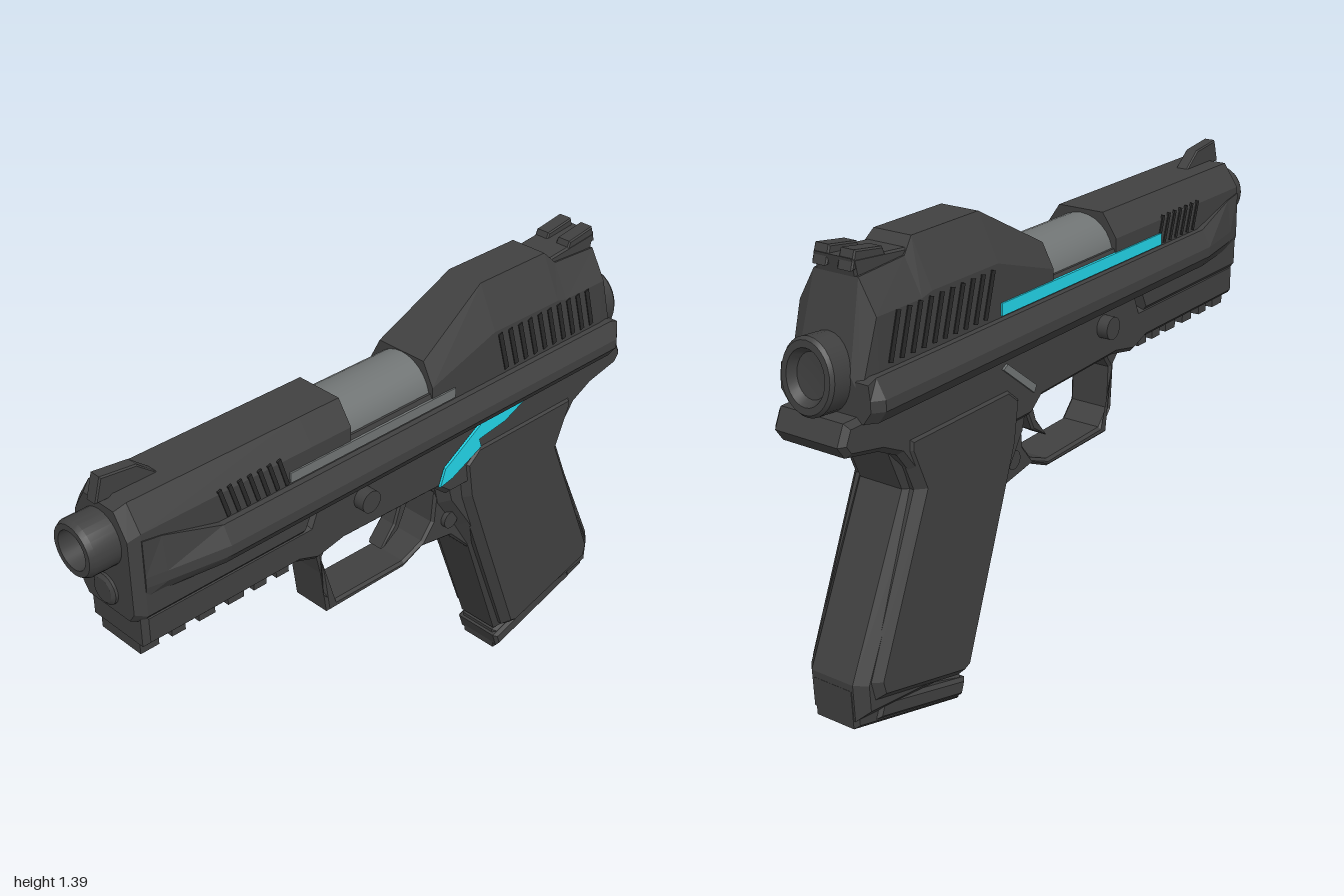
import * as THREE from 'three';
import { toCreasedNormals } from 'three/addons/utils/BufferGeometryUtils.js';

const material = (name, color) => {
  const m = new THREE.MeshStandardMaterial({ color });
  m.name = name;
  return m;
};

export function createModel() {
  const group = new THREE.Group();
  const body = material('charcoal', 0x404040);
  const dark = material('grooveBlack', 0x292929);
  const steel = material('steel', 0x707474);
  const cyan = material('cyan', 0x22d3e6);

  const add = (name, geometry, mat = body) => {
    const mesh = new THREE.Mesh(geometry, mat);
    mesh.name = name;
    group.add(mesh);
    return mesh;
  };

  // Side outline extruded to a half width with chamfered edges
  const plate = (name, points, half, bevel = 0.01, mat = body, hole = null, z = 0) => {
    const shape = new THREE.Shape(points.map(p => new THREE.Vector2(...p)));
    if (hole) shape.holes.push(new THREE.Path(hole.map(p => new THREE.Vector2(...p))));
    const depth = 2 * (half - bevel);
    const g = new THREE.ExtrudeGeometry(shape, {
      depth, bevelEnabled: bevel > 0, bevelThickness: bevel,
      bevelSize: bevel, bevelOffset: -bevel, bevelSegments: 1,
    });
    return add(name, g.translate(0, 0, z - depth / 2), mat);
  };

  const box = (name, size, pos, mat = body, tilt = 0) => {
    const mesh = add(name, new THREE.BoxGeometry(...size), mat);
    mesh.position.set(...pos);
    mesh.rotation.z = tilt;
    return mesh;
  };

  // Skin cross-sections that follow each other along +x
  const loft = (name, rings, mat = body) => {
    const pos = [], n = rings[0].length;
    const tri = (...v) => v.forEach(p => pos.push(...p));
    for (let i = 0; i + 1 < rings.length; i++) {
      for (let j = 0; j < n; j++) {
        const k = (j + 1) % n;
        const a = rings[i][j], b = rings[i][k], c = rings[i + 1][k], d = rings[i + 1][j];
        tri(a, d, c);
        tri(a, c, b);
      }
    }
    const first = rings[0], last = rings[rings.length - 1];
    for (let k = 1; k < n - 1; k++) {
      tri(first[0], first[k], first[k + 1]);
      tri(last[0], last[k + 1], last[k]);
    }
    const g = new THREE.BufferGeometry();
    g.setAttribute('position', new THREE.Float32BufferAttribute(pos, 3));
    g.computeVertexNormals();
    return add(name, g, mat);
  };

  // Slide section: x, bottom, shoulder height, top, half width, top half width
  const slideRing = ([x, bot, sh, top, w, tw]) => {
    const half = [[bot, w * 0.8], [bot + 0.03, w], [sh, w], [top, tw]];
    return [...half.map(([y, z]) => [x, y, z]),
      ...half.reverse().map(([y, z]) => [x, y, -z])];
  };
  loft('slideFront', [
    [-0.91, 0.91, 1.16, 1.23, 0.105, 0.06],
    [-0.88, 0.9, 1.18, 1.25, 0.122, 0.075],
    [-0.35, 0.9, 1.18, 1.25, 0.122, 0.075],
    [-0.32, 0.96, 1.18, 1.25, 0.122, 0.075],
    [-0.18, 0.96, 1.18, 1.25, 0.122, 0.075],
  ].map(slideRing));
  loft('slideMiddle', [
    [-0.18, 0.96, 1.13, 1.15, 0.122, 0.115],
    [0.13, 0.96, 1.13, 1.15, 0.122, 0.115],
  ].map(slideRing));
  loft('slideRear', [
    [0.13, 0.96, 1.17, 1.24, 0.122, 0.085],
    [0.38, 0.96, 1.25, 1.38, 0.122, 0.06],
    [0.65, 0.96, 1.25, 1.38, 0.122, 0.06],
    [0.69, 0.96, 1.24, 1.34, 0.122, 0.07],
    [0.86, 0.96, 1.24, 1.33, 0.122, 0.07],
    [0.92, 0.96, 1.05, 1.1, 0.115, 0.085],
  ].map(slideRing));

  // Flared side rails: x, top, outer half width
  const railRing = (x, top, out, s) => {
    const r = [[0.985, 0.1], [0.985, Math.max(0.118, out - 0.025)], [1.02, out],
      [1.05, out], [top, out > 0.14 ? 0.14 : 0.125], [top, 0.1]]
      .map(([y, z]) => [x, y, s * z]);
    return s > 0 ? r : r.reverse();
  };
  for (const s of [1, -1]) {
    loft('sideRail', [[-0.88, 1.16, 0.126], [-0.82, 1.15, 0.138], [-0.64, 1.1, 0.168],
      [0.89, 1.1, 0.168], [0.92, 1.09, 0.145]].map(([x, t, o]) => railRing(x, t, o, s)));

    // Slanted grip grooves
    for (let i = 0; i < 7; i++) {
      box('frontGroove', [0.012, 0.09, 0.006], [-0.62 + i * 0.033, 1.148, s * 0.122], dark, 0.3);
    }
    for (let i = 0; i < 10; i++) {
      box('rearGroove', [0.016, 0.13, 0.006], [0.42 + i * 0.042, 1.175, s * 0.122], dark, 0.28);
    }
  }

  // Long inlay above each rail
  box('rightInlay', [0.62, 0.03, 0.008], [-0.09, 1.122, 0.123], steel);
  box('leftInlay', [0.79, 0.035, 0.008], [-0.025, 1.122, -0.123], cyan);

  // Turned parts lying along x
  const turned = (name, profile, y, angle, mat = body, x = 0) => {
    const g = new THREE.LatheGeometry(profile.map(p => new THREE.Vector2(...p)), 28);
    const mesh = add(name, toCreasedNormals(g, 0.5), mat);
    mesh.position.set(x, y, 0);
    mesh.rotation.z = angle;
    return mesh;
  };
  turned('muzzle', [[0.08, 0.88], [0.08, 0.985], [0.072, 1], [0.055, 1], [0.05, 0.9], [0, 0.9]],
    1.13, Math.PI / 2);
  turned('guideRod', [[0.045, 0.88], [0.045, 0.918], [0.035, 0.925], [0, 0.925]], 0.97, Math.PI / 2);
  turned('chamber', [[0.11, -0.19], [0.11, 0.19]], 1.128, -Math.PI / 2, steel, -0.025);
  const cap = turned('rearCap', [[0.085, -0.1], [0.085, 0.09], [0.078, 0.1], [0.062, 0.1],
    [0.05, 0.075], [0, 0.07]], 1.09, -Math.PI / 2 + 0.09, body, 0.885);
  cap.scale.x = 1.2;
  box('rearPlate', [0.008, 0.19, 0.14], [0.886, 1.2, 0], steel, 0.25);

  // Sights
  plate('frontSight', [[-0.93, 1.24], [-0.91, 1.31], [-0.8, 1.297], [-0.73, 1.24]], 0.02, 0.004);
  plate('rearSightBase', [[0.68, 1.33], [0.67, 1.355], [0.87, 1.375], [0.86, 1.325]], 0.065, 0.006);
  for (const s of [1, -1]) {
    plate('rearSightPost', [[0.75, 1.355], [0.76, 1.38], [0.86, 1.395], [0.875, 1.345]],
      0.024, 0.004, body, null, s * 0.04);
  }

  // Frame with rail teeth under the nose
  plate('frame', [[-0.89, 0.93], [-0.89, 0.825], [-0.37, 0.825], [-0.3, 0.8], [-0.2, 0.82],
    [0.17, 0.81], [0.22, 0.77], [0.72, 0.77], [0.78, 0.85], [0.85, 0.885], [0.97, 0.91],
    [0.995, 0.945], [0.97, 1.0], [-0.3, 1.0], [-0.33, 0.93]], 0.115, 0.015);
  for (const [x, w] of [[-0.855, 0.06], [-0.76, 0.045], [-0.665, 0.055], [-0.565, 0.055],
    [-0.48, 0.045], [-0.4, 0.045]]) {
    box('railTooth', [w, 0.05, 0.16], [x, 0.812, 0]);
  }

  // Trigger guard and trigger
  plate('triggerGuard', [[-0.32, 0.83], [-0.26, 0.765], [-0.245, 0.7], [-0.225, 0.555], [0.08, 0.555],
    [0.16, 0.59], [0.28, 0.57], [0.37, 0.48], [0.45, 0.85]], 0.07, 0.008, body,
  [[-0.2, 0.815], [0.17, 0.81], [0.21, 0.76], [0.2, 0.66], [0.16, 0.61], [0.08, 0.578],
    [-0.19, 0.582], [-0.235, 0.63], [-0.24, 0.76]]);
  plate('trigger', [[0.06, 0.83], [0.135, 0.83], [0.135, 0.74], [0.1, 0.665], [0.03, 0.625],
    [0.08, 0.69], [0.1, 0.75]], 0.03, 0.006);

  // Grip with raised side panels, magazine and floor plate
  plate('grip', [[0.19, 0.85], [0.22, 0.72], [0.3, 0.6], [0.36, 0.5], [0.505, 0.09], [0.945, 0.15],
    [0.95, 0.26], [0.73, 0.73], [0.78, 0.85]], 0.1, 0.03);
  plate('gripPanels', [[0.27, 0.85], [0.33, 0.9], [0.76, 0.9], [0.765, 0.85], [0.715, 0.73],
    [0.915, 0.26], [0.9, 0.2], [0.55, 0.105], [0.51, 0.12], [0.37, 0.5], [0.29, 0.72]], 0.122, 0.025);
  plate('magazine', [[0.505, 0.08], [0.515, 0], [0.945, 0.125], [0.95, 0.24]], 0.075, 0.012);
  plate('floorPlate', [[0.498, 0.065], [0.515, 0.015], [0.87, 0.12], [0.85, 0.17]], 0.085, 0.01);

  // Cross pins
  for (const [x, y, r, h] of [[-0.13, 0.93, 0.034, 0.3], [0.265, 0.645, 0.028, 0.17]]) {
    const g = new THREE.CylinderGeometry(r, r, h, 20).rotateX(Math.PI / 2);
    add('crossPin', g).position.set(x, y, 0);
  }

  // Painted accent on one side, bare slit on the other
  plate('cyanAccent', [[0.17, 0.825], [0.19, 0.88], [0.35, 0.978], [0.54, 0.978], [0.44, 0.935],
    [0.33, 0.92], [0.34, 0.89], [0.22, 0.835]], 0.004, 0, cyan, null, 0.122);
  plate('steelSlit', [[0.22, 0.84], [0.21, 0.86], [0.34, 0.96], [0.36, 0.95]],
    0.004, 0, steel, null, -0.118);

  return group;
}
